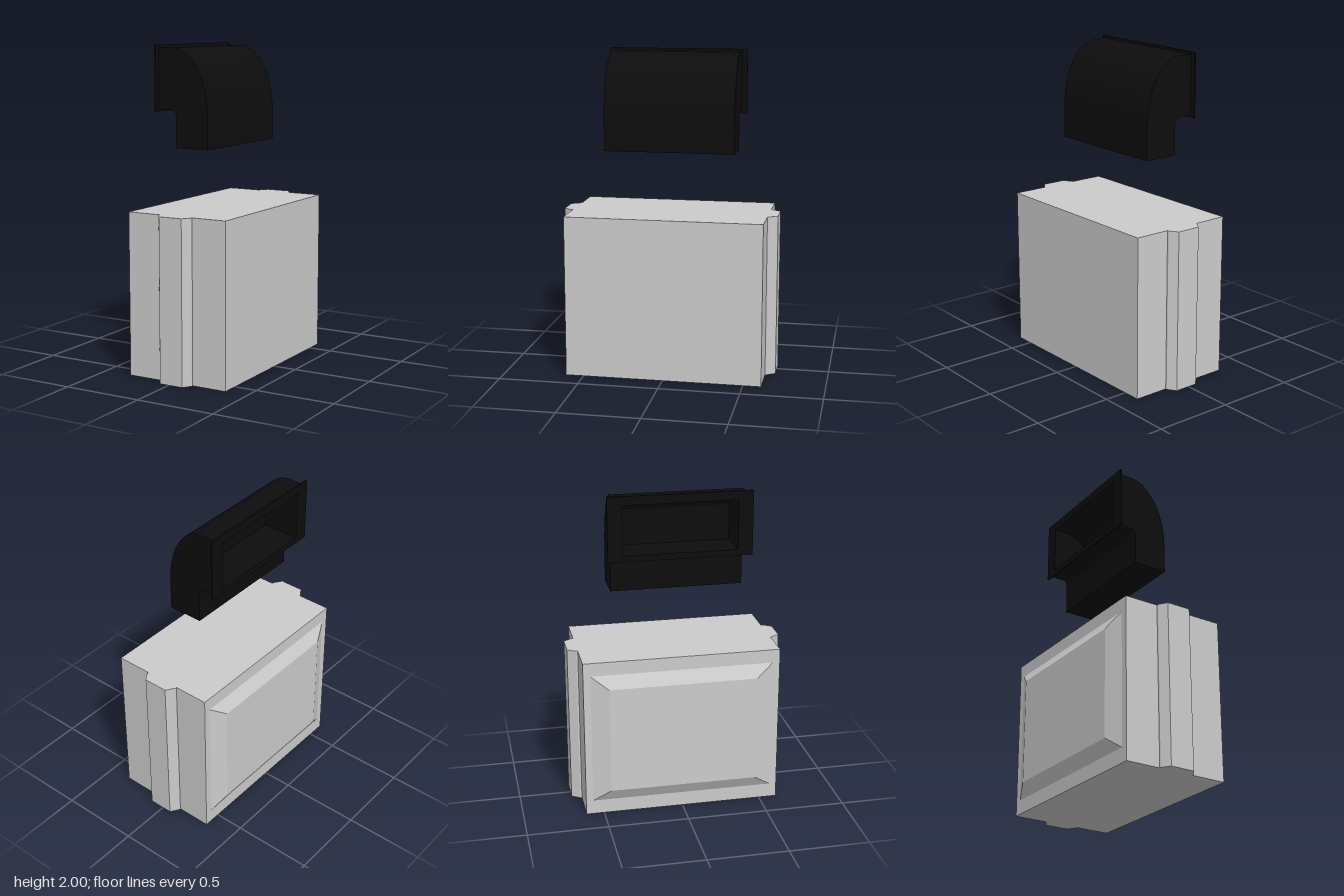
import * as THREE from 'three';
import { toCreasedNormals } from 'three/addons/utils/BufferGeometryUtils.js';

const grey = new THREE.MeshStandardMaterial({ color: 0xcccccc });
const black = new THREE.MeshStandardMaterial({ color: 0x0d0d0d });

function add(group, name, geometry, material) {
  const mesh = new THREE.Mesh(geometry, material);
  mesh.name = name;
  group.add(mesh);
  return mesh;
}

// Extrudes an x-y shape between two z positions, smooth along its curves
function extrude(shape, z0, z1) {
  const geo = new THREE.ExtrudeGeometry(shape, { depth: z1 - z0, bevelEnabled: false, curveSegments: 20 });
  geo.translate(0, 0, z0);
  return toCreasedNormals(geo, 0.5);
}

// Side outline of the elbow; a hollow one has the outlet pocket cut into it
function elbowShape(hollow) {
  const s = new THREE.Shape();
  s.moveTo(-0.227, 1.615);
  s.lineTo(-0.135, 1.615);
  s.quadraticCurveTo(-0.105, 1.615, -0.105, 1.575);
  s.lineTo(-0.105, 1.385);
  s.lineTo(0.115, 1.385);
  s.lineTo(0.115, 1.58);
  s.absellipse(-0.13, 1.58, 0.245, 0.405, 0, Math.PI / 2, false);
  s.lineTo(-0.227, 1.985);
  if (hollow) {
    s.lineTo(-0.227, 1.945);
    s.lineTo(-0.13, 1.945);
    s.quadraticCurveTo(-0.05, 1.94, 0, 1.86);
    s.lineTo(0, 1.64);
    s.lineTo(-0.227, 1.64);
  }
  s.closePath();
  return s;
}

export function createModel() {
  const model = new THREE.Group();
  model.name = 'ventilationUnit';

  // Block with an interlocking rib on each end, extruded upwards
  const half = [[0.355, 0.612], [0.13, 0.612], [0.13, 0.622], [0.095, 0.674],
    [-0.06, 0.674], [-0.095, 0.622], [-0.095, 0.612], [-0.315, 0.612]];
  const mirrored = half.map(([x, z]) => [x, -z]).reverse();
  const outline = new THREE.Shape([...half, ...mirrored].map(([x, z]) => new THREE.Vector2(x, z)));
  const block = new THREE.ExtrudeGeometry(outline, { depth: 1.01, bevelEnabled: false });
  block.rotateX(-Math.PI / 2);
  add(model, 'ribbedBlock', block, grey);

  // Raised panel: a box whose outer face is drawn in on all sides
  const panel = new THREE.BoxGeometry(0.045, 0.835, 1.135);
  const pos = panel.attributes.position;
  for (let i = 0; i < pos.count; i++) {
    if (pos.getX(i) < 0) {
      pos.setY(i, pos.getY(i) * 0.81);
      pos.setZ(i, pos.getZ(i) * 0.81);
    }
  }
  const flat = panel.toNonIndexed();
  flat.computeVertexNormals();
  add(model, 'raisedPanel', flat, grey).position.set(-0.3375, 0.508, 0);

  // Elbow duct: hollow middle closed by two solid cheeks
  const duct = new THREE.Group();
  duct.name = 'elbowDuct';
  duct.position.z = 0.004;
  model.add(duct);
  add(duct, 'ductBody', extrude(elbowShape(true), -0.35, 0.35), black);
  add(duct, 'ductCheekFront', extrude(elbowShape(false), 0.35, 0.407), black);
  add(duct, 'ductCheekBack', extrude(elbowShape(false), -0.407, -0.35), black);

  // Thin flange frame around the outlet
  const rect = (Type, w, y0, y1) => new Type([[-w, y0], [w, y0], [w, y1], [-w, y1]]
    .map(([x, y]) => new THREE.Vector2(x, y)));
  const frame = rect(THREE.Shape, 0.44, 1.603, 2);
  frame.holes.push(rect(THREE.Path, 0.35, 1.64, 1.945));
  const flange = new THREE.ExtrudeGeometry(frame, { depth: 0.01, bevelEnabled: false });
  flange.rotateY(-Math.PI / 2);
  add(duct, 'outletFlange', flange, black).position.x = -0.224;

  return model;
}
